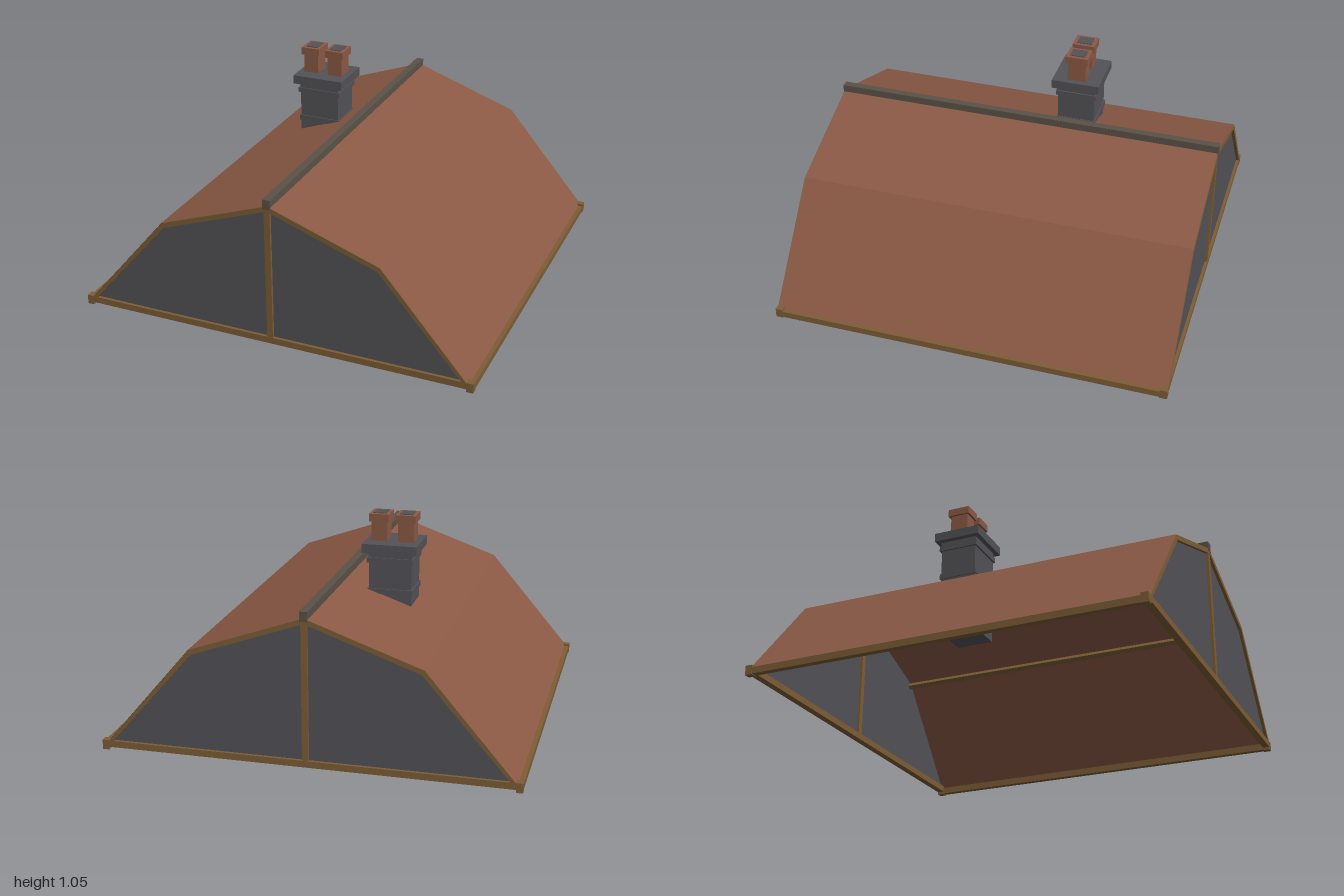
import * as THREE from 'three';

const mat = (name, color, side = THREE.FrontSide) => {
  const m = new THREE.MeshStandardMaterial({ color, side });
  m.name = name;
  return m;
};

export function createModel() {
  const clay = mat('clay red', 0x8b5945, THREE.DoubleSide);
  const slate = mat('slate grey', 0x535257);
  const wood = mat('timber brown', 0x7d5d36);
  const ridgeMat = mat('ridge grey brown', 0x5b5248);

  const model = new THREE.Group();
  model.name = 'gambrelRoof';

  const add = (parent, name, geometry, material) => {
    const mesh = new THREE.Mesh(geometry, material);
    mesh.name = name;
    parent.add(mesh);
    return mesh;
  };
  // Box given by its lower and upper limits on each axis
  const box = (parent, name, material, x0, x1, y0, y1, z0, z1) => {
    const mesh = add(parent, name, new THREE.BoxGeometry(x1 - x0, y1 - y0, z1 - z0), material);
    mesh.position.set((x0 + x1) / 2, (y0 + y1) / 2, (z0 + z1) / 2);
    return mesh;
  };
  const shapeOf = pts => new THREE.Shape(pts.map(([x, y]) => new THREE.Vector2(x, y)));
  const extrude = (shape, depth) => new THREE.ExtrudeGeometry(shape, { depth, bevelEnabled: false });

  // Cross-section of the roof, eave to eave
  const L = 0.98;
  const outer = [[-0.98, 0.03], [-0.55, 0.535], [0, 0.73], [0.55, 0.535], [0.98, 0.03]];
  const inner = [[-0.957, 0.03], [-0.538, 0.513], [0, 0.704], [0.538, 0.513], [0.957, 0.03]];

  // Four roof slopes
  for (let i = 0; i < 4; i++) {
    const [ax, ay] = outer[i], [bx, by] = outer[i + 1];
    const g = new THREE.BufferGeometry();
    g.setAttribute('position', new THREE.Float32BufferAttribute(
      [ax, ay, L, bx, by, L, bx, by, -L, ax, ay, -L], 3));
    g.setIndex([0, 1, 2, 0, 2, 3]);
    g.computeVertexNormals();
    add(model, 'roofSlope', g, clay).position.y = 0.002;
  }

  // Ridge cap outside and ridge beam inside
  box(model, 'ridgeCap', ridgeMat, -0.019, 0.019, 0.715, 0.762, -0.985, 0.985);
  box(model, 'ridgeBeam', wood, -0.015, 0.015, 0.685, 0.715, -0.96, 0.96);

  // Gable ends: panel, rafters, post and tie beam
  for (const [name, s] of [['frontGable', 1], ['backGable', -1]]) {
    const gable = new THREE.Group();
    gable.name = name;
    gable.rotation.y = s > 0 ? 0 : Math.PI;
    model.add(gable);
    add(gable, 'gablePanel', extrude(shapeOf(outer), 0.006), slate).position.z = 0.962;
    add(gable, 'rafters', extrude(shapeOf([...outer, ...[...inner].reverse()]), 0.016), wood).position.z = 0.967;
    box(gable, 'gablePost', wood, -0.015, 0.015, 0.03, 0.715, 0.95, 0.981);
    box(gable, 'tieBeam', wood, -0.985, 0.985, 0.014, 0.046, 0.948, 0.983);
  }

  // Eave beams, corner blocks and inside purlins on both sides
  for (const s of [-1, 1]) {
    box(model, 'eaveBeam', wood, s * 0.983 - 0.015, s * 0.983 + 0.015, 0.003, 0.036, -0.984, 0.984);
    for (const t of [-1, 1]) {
      box(model, 'cornerBlock', wood, s * 0.984 - 0.016, s * 0.984 + 0.016, 0, 0.047, t * 0.965 - 0.018, t * 0.965 + 0.018);
    }
    const purlin = box(model, 'purlin', wood, -0.013, 0.013, -0.012, 0.012, -0.96, 0.96);
    purlin.position.set(s * 0.533, 0.512, 0);
    purlin.rotation.z = -s * 0.6;
  }

  // Chimney stack: [name, half width, half depth, bottom, top]
  const chimney = new THREE.Group();
  chimney.name = 'chimney';
  chimney.position.set(-0.24, 0, -0.225);
  model.add(chimney);
  const layers = [
    ['stack', 0.105, 0.094, 0.37, 0.82],
    ['lowerBand', 0.111, 0.1, 0.663, 0.69],
    ['upperBand', 0.114, 0.103, 0.82, 0.845],
    ['neck', 0.107, 0.097, 0.845, 0.87],
    ['cap', 0.135, 0.121, 0.87, 0.915],
  ];
  for (const [name, w, d, y0, y1] of layers) box(chimney, name, slate, -w, w, y0, y1, -d, d);

  // Two square pots with dark flue openings
  for (const x of [-0.066, 0.066]) {
    box(chimney, 'pot', clay, x - 0.039, x + 0.039, 0.915, 1.012, -0.046, 0.046);
    box(chimney, 'potRim', clay, x - 0.049, x + 0.049, 1.012, 1.05, -0.057, 0.057);
    box(chimney, 'flueOpening', slate, x - 0.031, x + 0.031, 1.048, 1.054, -0.038, 0.038);
  }

  return model;
}
